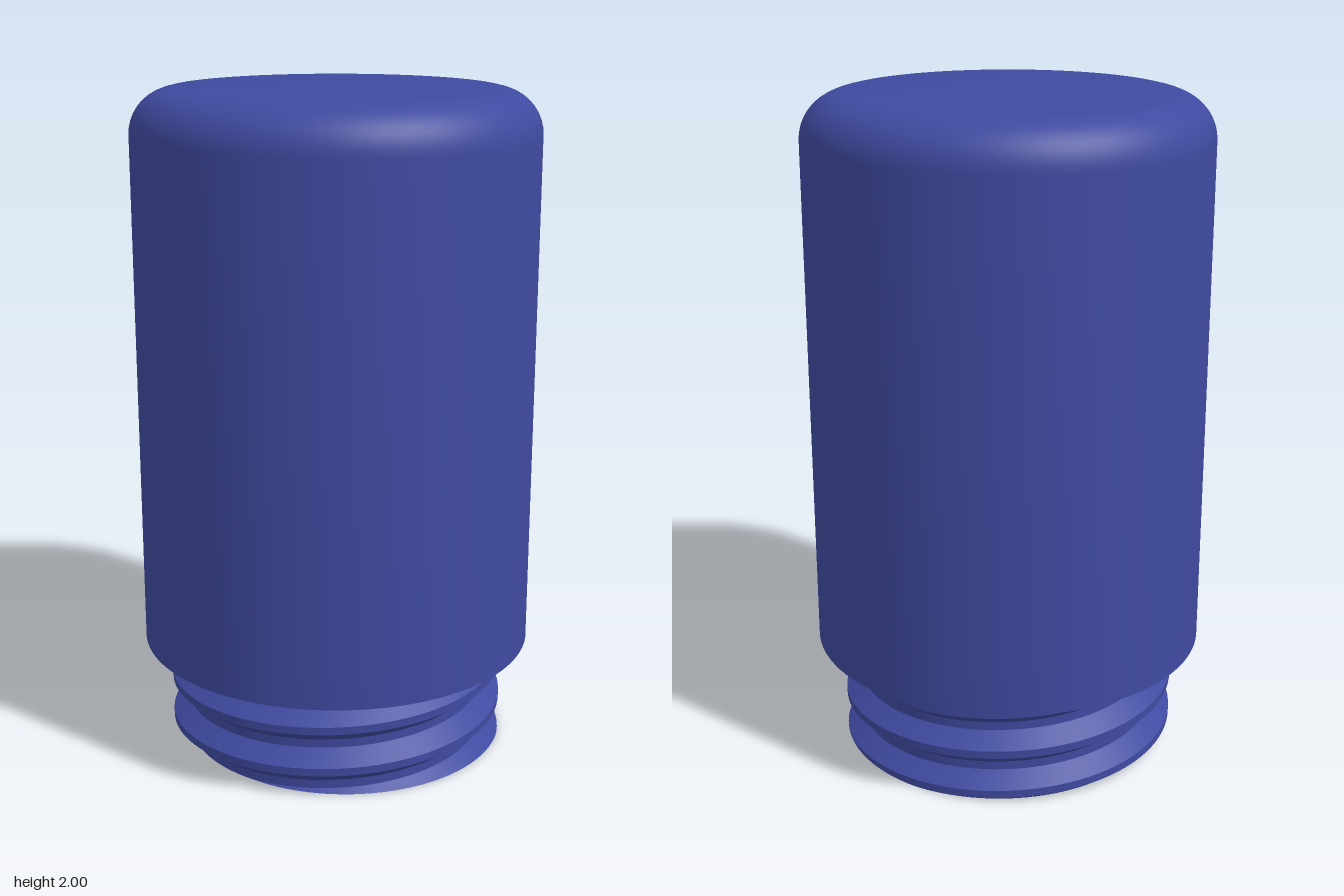
import * as THREE from 'three';
import { toCreasedNormals } from 'three/addons/utils/BufferGeometryUtils.js';

const PITCH = 0.132, SEGMENTS = 96;
const NECK_TOP = 0.34, BORE_TOP = 0.25, BODY_BOTTOM = 0.33, RADIUS = 0.595;

// Thread profile over one pitch: [fraction of pitch, 0 = root .. 1 = crest]
const KNOTS = [[-0.5, 0], [-0.4, 0], [-0.09, 1], [0.09, 1], [0.4, 0], [0.5, 0]];

function threadHeight(y, turn) {
  let t = y / PITCH - turn;
  t -= Math.round(t);
  const k = KNOTS.findIndex((knot, i) => i > 0 && t <= knot[0] + 1e-9);
  const [t0, h0] = KNOTS[k - 1], [t1, h1] = KNOTS[k];
  return h0 + (h1 - h0) * (t - t0) / (t1 - t0);
}

// Points of a threaded wall at one angle, from bottom to top; rows follow the helix
function threadedWall(root, crest, top, turn) {
  const points = [];
  for (let n = -2; n <= Math.ceil(top / PITCH) + 1; n++) {
    for (const [t] of KNOTS.slice(1)) {
      const y = THREE.MathUtils.clamp((n + t + turn) * PITCH, 0, top);
      points.push([THREE.MathUtils.lerp(root, crest, threadHeight(y, turn)), y]);
    }
  }
  return points;
}

// Hollow neck: inner thread down, across the bottom rim, outer thread up
function neckGeometry() {
  const rings = [];
  for (let i = 0; i <= SEGMENTS; i++) {
    const turn = i / SEGMENTS, angle = turn * Math.PI * 2;
    const inner = threadedWall(0.385, 0.345, BORE_TOP, turn).reverse();
    const outer = threadedWall(0.462, 0.515, NECK_TOP, turn);
    rings.push([...inner, ...outer].map(([r, y]) =>
      new THREE.Vector3(r * Math.cos(angle), y, -r * Math.sin(angle))));
  }
  const positions = [];
  const triangle = new THREE.Triangle();
  const addFace = (a, b, c) => {
    if (triangle.set(a, b, c).getArea() < 1e-9) return;
    for (const p of [a, b, c]) positions.push(p.x, p.y, p.z);
  };
  for (let i = 0; i < SEGMENTS; i++) {
    const left = rings[i], right = rings[i + 1];
    for (let j = 0; j < left.length - 1; j++) {
      addFace(left[j], right[j], right[j + 1]);
      addFace(left[j], right[j + 1], left[j + 1]);
    }
  }
  const geometry = new THREE.BufferGeometry();
  geometry.setAttribute('position', new THREE.Float32BufferAttribute(positions, 3));
  return toCreasedNormals(geometry, 0.5);
}

// Closed body with a rounded top edge and a plain cavity
function bodyGeometry() {
  const fillet = 0.13;
  const profile = [[0, 1.85], [0.4, 1.85], [0.4, BORE_TOP], [0.43, BORE_TOP],
    [0.43, BODY_BOTTOM], [RADIUS, BODY_BOTTOM]];
  for (let i = 0; i <= 10; i++) {
    const a = i / 10 * Math.PI / 2;
    profile.push([RADIUS - fillet + fillet * Math.cos(a), 2 - fillet + fillet * Math.sin(a)]);
  }
  profile.push([0, 2]);
  const points = profile.map(([r, y]) => new THREE.Vector2(r, y));
  return toCreasedNormals(new THREE.LatheGeometry(points, SEGMENTS), 0.5);
}

export function createModel() {
  const group = new THREE.Group();
  group.name = 'threadedCap';
  const material = new THREE.MeshStandardMaterial({ color: 0x3f4aa0 });
  const add = (name, geometry) => {
    const mesh = new THREE.Mesh(geometry, material);
    mesh.name = name;
    group.add(mesh);
  };
  add('body', bodyGeometry());
  add('threadedNeck', neckGeometry());
  return group;
}
